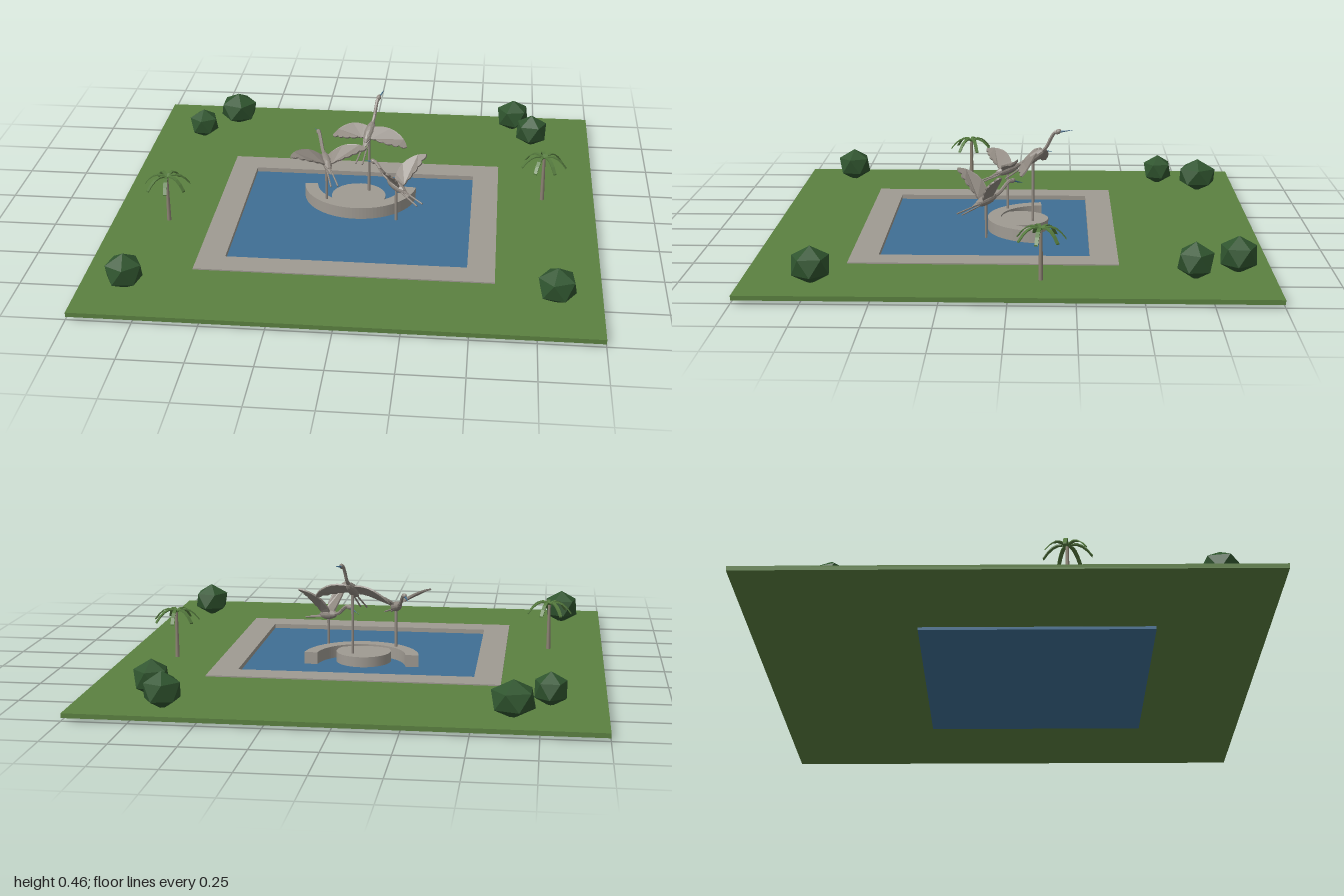
import * as THREE from 'three';

const mat = (name, color, flat = false) => {
  const m = new THREE.MeshStandardMaterial({ color, flatShading: flat });
  m.name = name;
  return m;
};

export function createModel() {
  const root = new THREE.Group();
  root.name = 'fountainGarden';
  const grass = mat('grass', 0x5b8140);
  const stone = mat('stone', 0x9f9a92);
  const water = mat('water', 0x3f6f94);
  const bronze = mat('weatheredMetal', 0x8f8880, true);
  const bushGreen = mat('bushGreen', 0x30552f, true);
  const palmGreen = mat('palmGreen', 0x557a3e, true);
  const trunkTan = mat('trunk', 0x8d8374);

  const add = (parent, name, geo, material, x = 0, y = 0, z = 0) => {
    const m = new THREE.Mesh(geo, material);
    m.name = name;
    m.position.set(x, y, z);
    parent.add(m);
    return m;
  };
  const rect = (C, x0, x1, z0, z1) => {
    const s = new C();
    s.moveTo(x0, z0); s.lineTo(x1, z0); s.lineTo(x1, z1); s.lineTo(x0, z1); s.closePath();
    return s;
  };
  // Extrude a plan outline (x, z) downwards from y = 0
  const slab = (shape, depth, curveSegments = 24) =>
    new THREE.ExtrudeGeometry(shape, { depth, bevelEnabled: false, curveSegments }).rotateX(Math.PI / 2);

  // Lawn, pool rim and water
  const lawn = rect(THREE.Shape, -1, 1, -1, 1);
  lawn.holes.push(rect(THREE.Path, -0.52, 0.52, -0.35, 0.565));
  add(root, 'lawn', slab(lawn, 0.018), grass, 0, 0.03, 0);
  const rim = rect(THREE.Shape, -0.59, 0.59, -0.42, 0.63);
  rim.holes.push(rect(THREE.Path, -0.48, 0.48, -0.31, 0.52));
  add(root, 'poolRim', slab(rim, 0.02), stone, 0, 0.035, 0);
  add(root, 'poolWater', new THREE.BoxGeometry(1.04, 0.016, 0.915), water, 0, 0.008, 0.1075);

  // Fountain plinths: a crescent around a round drum
  const crescent = new THREE.Shape();
  crescent.absarc(0, 0, 0.24, 0.08, Math.PI - 0.08, false);
  crescent.absarc(0, 0, 0.185, Math.PI - 0.08, 0.08, true);
  crescent.closePath();
  add(root, 'crescentPlinth', slab(crescent, 0.052), stone, 0, 0.066, -0.13);
  add(root, 'drumPlinth', new THREE.CylinderGeometry(0.115, 0.115, 0.045, 24), stone, 0, 0.036, -0.03);

  // Wing outline: smooth leading edge, scalloped feathers behind
  const wing = new THREE.Shape();
  wing.moveTo(0, 0.025);
  wing.quadraticCurveTo(0.07, 0.05, 0.125, 0.02);
  wing.quadraticCurveTo(0.155, 0.005, 0.168, -0.022);
  for (const [x, y] of [[0.135, -0.027], [0.105, -0.034], [0.07, -0.036], [0.035, -0.032], [0, -0.025]])
    wing.quadraticCurveTo(x + 0.018, y - 0.012, x, y);
  const wingGeo = slab(wing, 0.007, 5);
  // Slight camber along the span
  const wp = wingGeo.attributes.position;
  for (let i = 0; i < wp.count; i++) wp.setY(i, wp.getY(i) + 0.012 * Math.sin(wp.getX(i) / 0.168 * Math.PI));

  const neckCurve = new THREE.CatmullRomCurve3([
    [0, 0, 0.035], [0, 0.004, 0.075], [0, 0.024, 0.115], [0, 0.034, 0.145], [0, 0.027, 0.162],
  ].map(p => new THREE.Vector3(...p)));

  // Flying wading bird on a pole; it faces (hx, hz)
  function bird(name, x, y, z, hx, hz, pitch, lift) {
    add(root, name + 'Pole', new THREE.CylinderGeometry(0.006, 0.006, y - 0.02, 8), bronze, x, (y + 0.02) / 2, z);
    const g = new THREE.Group();
    g.name = name;
    g.position.set(x, y, z);
    g.rotation.order = 'YXZ';
    g.rotation.set(-pitch, Math.atan2(hx, hz), 0);
    root.add(g);
    add(g, 'body', new THREE.SphereGeometry(1, 10, 8), bronze).scale.set(0.021, 0.021, 0.058);
    add(g, 'neck', new THREE.TubeGeometry(neckCurve, 14, 0.0075, 6), bronze);
    add(g, 'head', new THREE.SphereGeometry(1, 8, 6), bronze, 0, 0.029, 0.157).scale.set(0.01, 0.01, 0.015);
    const beak = add(g, 'beak', new THREE.ConeGeometry(0.005, 0.07, 6).rotateX(Math.PI / 2), water, 0, 0.013, 0.187);
    beak.rotation.x = 0.46;
    add(g, 'tail', new THREE.ConeGeometry(0.018, 0.045, 6).rotateX(-Math.PI / 2), bronze, 0, 0, -0.06).scale.y = 0.4;
    for (const s of [-1, 1]) {
      const side = new THREE.Group();
      side.name = s > 0 ? 'leftSide' : 'rightSide';
      side.scale.x = s;
      g.add(side);
      add(side, 'wing', wingGeo, bronze, 0.006, 0.008, 0).rotation.z = lift;
      const leg = add(side, 'leg', new THREE.CylinderGeometry(0.0035, 0.0035, 0.12, 6).rotateX(Math.PI / 2),
        bronze, 0.011, -0.008, -0.09);
      leg.rotation.y = -0.06;
    }
  }
  bird('centreBird', 0.04, 0.33, -0.08, 0.05, -0.17, 0.64, -0.25);
  bird('rightBird', -0.13, 0.24, 0.03, -0.08, -0.22, 0.3, 0.38);
  bird('leftBird', 0.17, 0.18, 0.11, -0.7, -0.7, 0.18, 0.8);

  // Bushes
  const bushGeo = new THREE.IcosahedronGeometry(1, 0).rotateX(-Math.atan(1.618));
  [[-0.65, -0.83, 0.092], [-0.785, -0.655, 0.071], [0.65, -0.87, 0.08],
    [0.735, -0.7, 0.077], [-0.825, 0.78, 0.08], [0.825, 0.735, 0.082]].forEach(([x, z, r], i) => {
    const h = r < 0.075 ? 0.068 : 0.074;
    const b = add(root, 'bush' + (i + 1), bushGeo, bushGreen, x, 0.022 + h, z);
    b.scale.set(r, h, r);
    b.rotation.y = i * 0.9 + 0.3;
  });

  // Palms: arched fronds around a slim trunk
  const frondGeo = new THREE.BoxGeometry(0.02, 0.005, 0.095, 1, 1, 5).translate(0, 0, 0.0475);
  const fp = frondGeo.attributes.position;
  for (let i = 0; i < fp.count; i++) {
    const t = fp.getZ(i) / 0.095;
    fp.setX(i, fp.getX(i) * (0.5 + 0.8 * t - 0.6 * t * t));
    fp.setY(i, fp.getY(i) + 0.07 * t - 0.105 * t * t);
  }
  frondGeo.computeVertexNormals();
  [[-0.77, 0.22, 0.1], [0.78, -0.12, 0.5]].forEach(([x, z, turn], i) => {
    const palm = new THREE.Group();
    palm.name = 'palm' + (i + 1);
    palm.position.set(x, 0.03, z);
    root.add(palm);
    add(palm, 'trunk', new THREE.CylinderGeometry(0.006, 0.009, 0.195, 8), trunkTan, 0, 0.0975, 0);
    for (let k = 0; k < 7; k++)
      add(palm, 'frond', frondGeo, palmGreen, 0, 0.194, 0).rotation.y = turn + k / 7 * Math.PI * 2;
  });
  return root;
}
